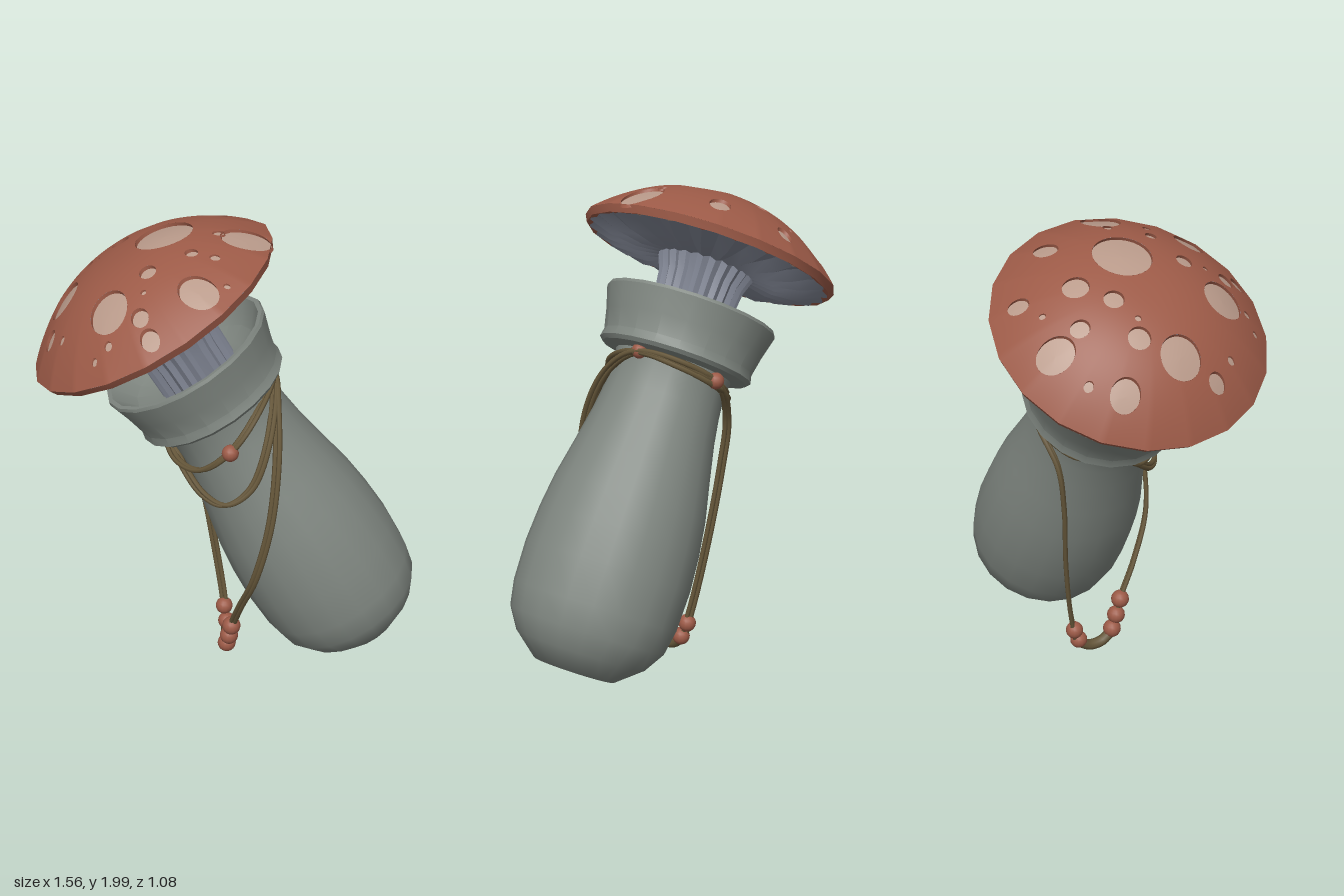
import * as THREE from 'three';
import { toCreasedNormals } from 'three/addons/utils/BufferGeometryUtils.js';

const mat = (color, side = THREE.FrontSide) => new THREE.MeshStandardMaterial({ color, side });
const GREY = mat(0x7f8680, THREE.DoubleSide);
const CAP = mat(0x9c5a47, THREE.DoubleSide);
const SPOT = mat(0xb99a8a, THREE.DoubleSide);
const GILL = mat(0x7f8492, THREE.DoubleSide);
const ROPE = mat(0x66573a);
const BEAD = mat(0x9c5a47);

const SIDES = 20, CAP_R = 0.54, TILT = Math.PI / 6;
const BASE = [0.565, 0.14];

function add(parent, name, geo, material) {
  const mesh = new THREE.Mesh(geo, material);
  mesh.name = name;
  parent.add(mesh);
  return mesh;
}

const lathe = (pts, sides = SIDES) =>
  new THREE.LatheGeometry(pts.map(([r, y]) => new THREE.Vector2(r, y)), sides);

// Radius factor that turns a circle into the cap's many-sided outline towards the rim
function facet(x, z) {
  const step = (2 * Math.PI) / SIDES;
  const a = ((Math.atan2(x, z) % step) + step) % step;
  const f = Math.cos(step / 2) / Math.cos(a - step / 2);
  return 1 + (f - 1) * Math.min(1, (Math.hypot(x, z) / CAP_R) ** 3);
}
const profileHeight = (r) => 2.02 - 0.24 * (r / CAP_R) ** 2.35;
const domeHeight = (x, z) => profileHeight(Math.hypot(x, z) / facet(x, z));

// Cap hollows: plan x, plan z, radius
const SPOTS = [
  [-0.276, -0.01, 0.112], [0.035, 0.06, 0.075], [-0.08, -0.23, 0.043], [-0.247, -0.422, 0.035],
  [-0.353, -0.376, 0.012], [-0.483, -0.386, 0.065], [-0.475, -0.286, 0.035], [-0.34, -0.235, 0.048],
  [-0.61, -0.32, 0.018], [-0.68, -0.21, 0.055], [-0.587, -0.106, 0.043], [-0.533, -0.083, 0.012],
  [-0.446, -0.135, 0.038], [-0.66, 0.025, 0.08], [-0.71, 0.15, 0.036], [-0.655, 0.24, 0.016],
  [-0.47, 0.31, 0.083], [-0.325, 0.224, 0.033], [-0.338, 0.31, 0.011], [-0.35, 0.395, 0.034],
  [-0.313, 0.473, 0.036], [-0.467, 0.423, 0.016], [-0.52, 0.43, 0.013], [-0.14, 0.353, 0.066],
  [-0.035, 0.33, 0.011], [-0.164, 0.17, 0.023], [-0.077, 0.2, 0.017], [-0.064, 0.037, 0.019],
].map(([px, z, r]) => {
  // bring the plan position into the tilted cap's own frame
  let x = 0;
  for (let i = 0; i < 40; i++) {
    const h = profileHeight(Math.min(CAP_R, Math.hypot(x, z)));
    x = (px - BASE[0] + Math.sin(TILT) * h) / Math.cos(TILT);
  }
  return { x, z, r };
});

function gridGeometry(rows, cols, point, keep = () => true) {
  const pos = [], index = [];
  for (let i = 0; i <= rows; i++) for (let j = 0; j < cols; j++) pos.push(...point(i, j));
  const tri = (a, b, c) => {
    const mid = (k) => (pos[a * 3 + k] + pos[b * 3 + k] + pos[c * 3 + k]) / 3;
    if (keep(mid(0), mid(2))) index.push(a, b, c);
  };
  for (let i = 0; i < rows; i++) for (let j = 0; j < cols; j++) {
    const a = i * cols + j, b = i * cols + ((j + 1) % cols), c = a + cols, d = b + cols;
    tri(a, c, d);
    tri(a, d, b);
  }
  const geo = new THREE.BufferGeometry();
  geo.setAttribute('position', new THREE.Float32BufferAttribute(pos, 3));
  geo.setIndex(index);
  geo.computeVertexNormals();
  return geo;
}

// Dome skin with round openings; nearby grid points are pulled onto each opening's edge
function capSkin() {
  const rows = 70, cols = 240;
  return gridGeometry(rows, cols, (i, j) => {
    const a = (j / cols) * 2 * Math.PI, r = (CAP_R * i) / rows;
    let x = r * Math.sin(a), z = r * Math.cos(a);
    const f = facet(x, z);
    x *= f; z *= f;
    if (i < rows) for (const s of SPOTS) {
      const d = Math.hypot(x - s.x, z - s.z);
      if (d > 1e-5 && Math.abs(d - s.r) < Math.min(0.008, s.r * 0.6)) {
        x = s.x + ((x - s.x) * s.r) / d;
        z = s.z + ((z - s.z) * s.r) / d;
      }
    }
    return [x, domeHeight(x, z), z];
  }, (x, z) => SPOTS.every((s) => Math.hypot(x - s.x, z - s.z) > s.r * 0.995));
}

// A patch that follows the dome, between two radii and two depths
function spotPatch(s, r0, r1, depth0, depth1, rows) {
  return gridGeometry(rows, 28, (i, j) => {
    const t = i / rows, a = (j / 28) * 2 * Math.PI, r = r0 + (r1 - r0) * t;
    const x = s.x + r * Math.sin(a), z = s.z + r * Math.cos(a);
    return [x, domeHeight(x, z) - depth0 - (depth1 - depth0) * t, z];
  });
}

function buildCap() {
  const cap = new THREE.Group();
  cap.name = 'cap';
  add(cap, 'capSkin', capSkin(), CAP);
  add(cap, 'capRim', toCreasedNormals(lathe([[0.5, 1.757], [0.525, 1.75], [CAP_R, 1.78]]), 0.5), CAP);
  for (const s of SPOTS) {
    const depth = s.r > 0.02 ? 0.014 : 0.008;
    add(cap, 'spotFloor', spotPatch(s, 0, s.r, depth, depth, 3), SPOT);
    add(cap, 'spotWall', spotPatch(s, s.r, s.r, 0, depth, 1), CAP);
  }
  return cap;
}

// Fluted stem that spreads into the pleated gills: radius, height, flute depth, pleat depth
function buildGills() {
  const rows = [
    [0.16, 1.4, 0.007, 0], [0.162, 1.55, 0.007, 0], [0.175, 1.66, 0.007, 0], [0.2, 1.725, 0.005, 0.006],
    [0.3, 1.722, 0, 0.014], [0.42, 1.735, 0, 0.016], [0.515, 1.757, 0, 0.01],
  ];
  const geo = lathe(rows, 48), p = geo.attributes.position;
  for (let k = 0; k < p.count; k++) {
    const [r, , flute, pleat] = rows[k % rows.length];
    const sign = Math.floor(k / rows.length) % 2 ? 1 : -1;
    const f = 1 - (sign * flute) / r;
    p.setXYZ(k, p.getX(k) * f, p.getY(k) + sign * pleat, p.getZ(k) * f);
  }
  return toCreasedNormals(geo, 0.5);
}

// Cord made of two strands side by side along a closed path
function cord(parent, name, path, segments) {
  for (const o of [-0.008, 0.008]) {
    const pts = path.map(([x, y, z]) => new THREE.Vector3(x + o, y + o * 0.5, z + o * 0.5));
    const curve = new THREE.CatmullRomCurve3(pts, true);
    add(parent, name, new THREE.TubeGeometry(curve, segments, 0.0105, 6, true), ROPE);
  }
}

export function createModel() {
  const model = new THREE.Group();
  model.name = 'mushroomFlask';

  const flask = new THREE.Group();
  flask.name = 'flask';
  flask.position.set(BASE[0], BASE[1], 0);
  flask.rotation.z = TILT;
  model.add(flask);

  // Round-bottomed body with a narrowing neck
  add(flask, 'body', toCreasedNormals(lathe([
    [0, -0.01], [0.17, -0.008], [0.272, 0.075], [0.326, 0.16], [0.345, 0.263], [0.35, 0.43],
    [0.34, 0.58], [0.322, 0.72], [0.29, 0.875], [0.26, 1.03], [0.245, 1.14], [0.238, 1.24], [0.25, 1.31],
  ]), 0.8), GREY);

  // Flared collar with a hollow mouth
  add(flask, 'collar', toCreasedNormals(lathe([
    [0.235, 1.29], [0.31, 1.3], [0.325, 1.315], [0.318, 1.35], [0.335, 1.43], [0.362, 1.525],
    [0.358, 1.538], [0.34, 1.538], [0.27, 1.45], [0.2, 1.42], [0, 1.42],
  ]), 0.5), GREY);

  add(flask, 'stemAndGills', buildGills(), GILL);
  flask.add(buildCap());

  // Cords around the neck and the long hanging loop
  const cords = new THREE.Group();
  cords.name = 'cords';
  model.add(cords);
  cord(cords, 'neckCord', [
    [0.15, 1.37, 0], [0.08, 1.285, 0.2], [-0.02, 1.16, 0.265], [-0.14, 1.05, 0.22], [-0.24, 1.035, 0.1],
    [-0.275, 1.1, 0], [-0.2, 1.14, -0.17], [-0.02, 1.25, -0.26], [0.09, 1.33, -0.18],
  ], 70);
  cord(cords, 'swagCord', [
    [0.155, 1.36, 0.02], [0.13, 1.18, 0.225], [0.06, 1, 0.29], [-0.04, 0.92, 0.28], [-0.13, 0.93, 0.21],
    [-0.22, 1.02, 0.1], [-0.275, 1.11, -0.01], [-0.2, 1.12, -0.18], [-0.02, 1.23, -0.265], [0.1, 1.32, -0.18],
  ], 80);
  cord(cords, 'hangingCord', [
    [0.155, 1.37, 0], [0.165, 1.28, 0.14], [0.165, 1.1, 0.25], [0.14, 0.85, 0.315], [0.08, 0.58, 0.31],
    [0.02, 0.37, 0.22], [-0.015, 0.2, 0.13], [-0.035, 0.06, 0.08], [-0.035, 0.02, 0], [-0.035, 0.06, -0.08],
    [-0.05, 0.2, -0.12], [-0.1, 0.53, -0.17], [-0.15, 0.85, -0.2], [-0.15, 1.05, -0.225],
    [-0.03, 1.24, -0.265], [0.09, 1.34, -0.19],
  ], 140);

  // Beads: x, y, z, radius
  for (const [x, y, z, r] of [
    [0.14, 1.37, 0, 0.032], [-0.02, 1.155, 0.265, 0.034], [-0.02, 1.255, -0.26, 0.034],
    [-0.015, 0.21, 0.135, 0.04], [-0.025, 0.14, 0.11, 0.04], [-0.035, 0.08, 0.085, 0.04],
    [-0.045, 0.14, -0.105, 0.038], [-0.035, 0.075, -0.08, 0.038],
  ]) add(cords, 'bead', new THREE.SphereGeometry(r, 14, 10), BEAD).position.set(x, y, z);

  // Thick binding at the bottom of the hanging loop
  const bottom = new THREE.CatmullRomCurve3([[0.07, 0.055], [0.035, 0.03], [0, 0.024], [-0.035, 0.03], [-0.07, 0.055]]
    .map(([z, y]) => new THREE.Vector3(-0.035, y, z)));
  add(cords, 'loopBinding', new THREE.TubeGeometry(bottom, 12, 0.024, 8), ROPE);
  return model;
}
